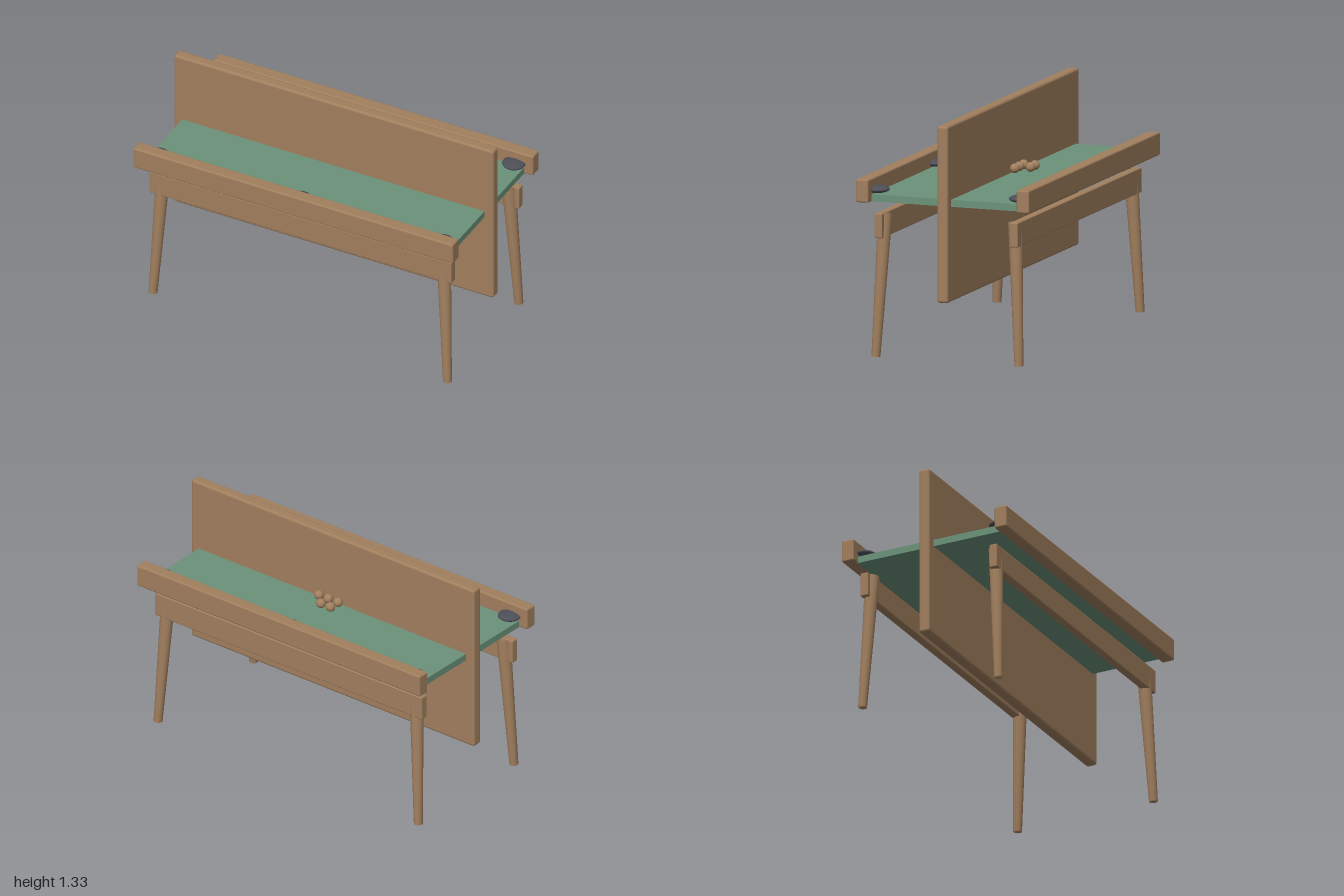
import * as THREE from 'three';
import { mergeVertices } from 'three/addons/utils/BufferGeometryUtils.js';
import { RoundedBoxGeometry } from 'three/addons/geometries/RoundedBoxGeometry.js';

function material(name, color) {
  const m = new THREE.MeshStandardMaterial({ color });
  m.name = name;
  return m;
}

export function createModel() {
  const model = new THREE.Group();
  model.name = 'pocketTable';
  const wood = material('wood', 0xa17f5e);
  const felt = material('green felt', 0x6b9279);
  const dark = material('dark pocket', 0x4e4e58);

  function add(name, geometry, mat, x, y, z) {
    const mesh = new THREE.Mesh(geometry, mat);
    mesh.name = name;
    mesh.position.set(x, y, z);
    model.add(mesh);
    return mesh;
  }

  // Upright panel through the middle and the playing surface
  add('centrePanel', new RoundedBoxGeometry(2, 0.995, 0.065, 2, 0.015), wood, 0, 0.8375, 0);
  add('playingSurface', new THREE.BoxGeometry(1.89, 0.04, 0.9), felt, 0, 0.896, 0);

  // Tapered leg with normals blended over its ends
  const bottom = new THREE.Vector3(0.92, 0.002, 0.425);
  const top = new THREE.Vector3(0.877, 0.805, 0.386);
  const axis = top.clone().sub(bottom);
  let legGeometry = new THREE.CylinderGeometry(0.04, 0.025, axis.length(), 20);
  legGeometry.deleteAttribute('normal');
  legGeometry.deleteAttribute('uv');
  legGeometry = mergeVertices(legGeometry);
  legGeometry.computeVertexNormals();

  const railGeometry = new RoundedBoxGeometry(2, 0.13, 0.075, 2, 0.01);
  const apronGeometry = new RoundedBoxGeometry(1.89, 0.14, 0.048, 2, 0.007);
  const pocketGeometry = new THREE.SphereGeometry(0.066, 32, 16);

  for (const side of [1, -1]) {
    const end = side > 0 ? 'front' : 'back';
    add(end + 'Rail', railGeometry, wood, 0, 0.94, side * 0.4775);
    add(end + 'Apron', apronGeometry, wood, 0, 0.74, side * 0.403);

    // Flattened pockets half sunk into the rail
    for (const x of [-0.89, 0, 0.89]) {
      add(end + 'Pocket', pocketGeometry, dark, x, 0.939, side * 0.425).scale.y = 0.32;
    }

    // Splayed legs
    for (const sx of [-1, 1]) {
      const mirror = new THREE.Vector3(sx, 1, side);
      const centre = bottom.clone().add(top).multiplyScalar(0.5).multiply(mirror);
      const leg = add(end + 'Leg', legGeometry, wood, centre.x, centre.y, centre.z);
      leg.quaternion.setFromUnitVectors(
        new THREE.Vector3(0, 1, 0), axis.clone().multiply(mirror).normalize());
    }
  }

  // Balls in two rows behind the panel
  const ballGeometry = new THREE.SphereGeometry(0.027, 24, 16);
  [[-0.067, -0.067], [0, -0.067], [0.067, -0.067], [-0.067, -0.134], [0, -0.134]].forEach(
    ([x, z], i) => add('ball' + (i + 1), ballGeometry, wood, x, 0.949, z));

  return model;
}
